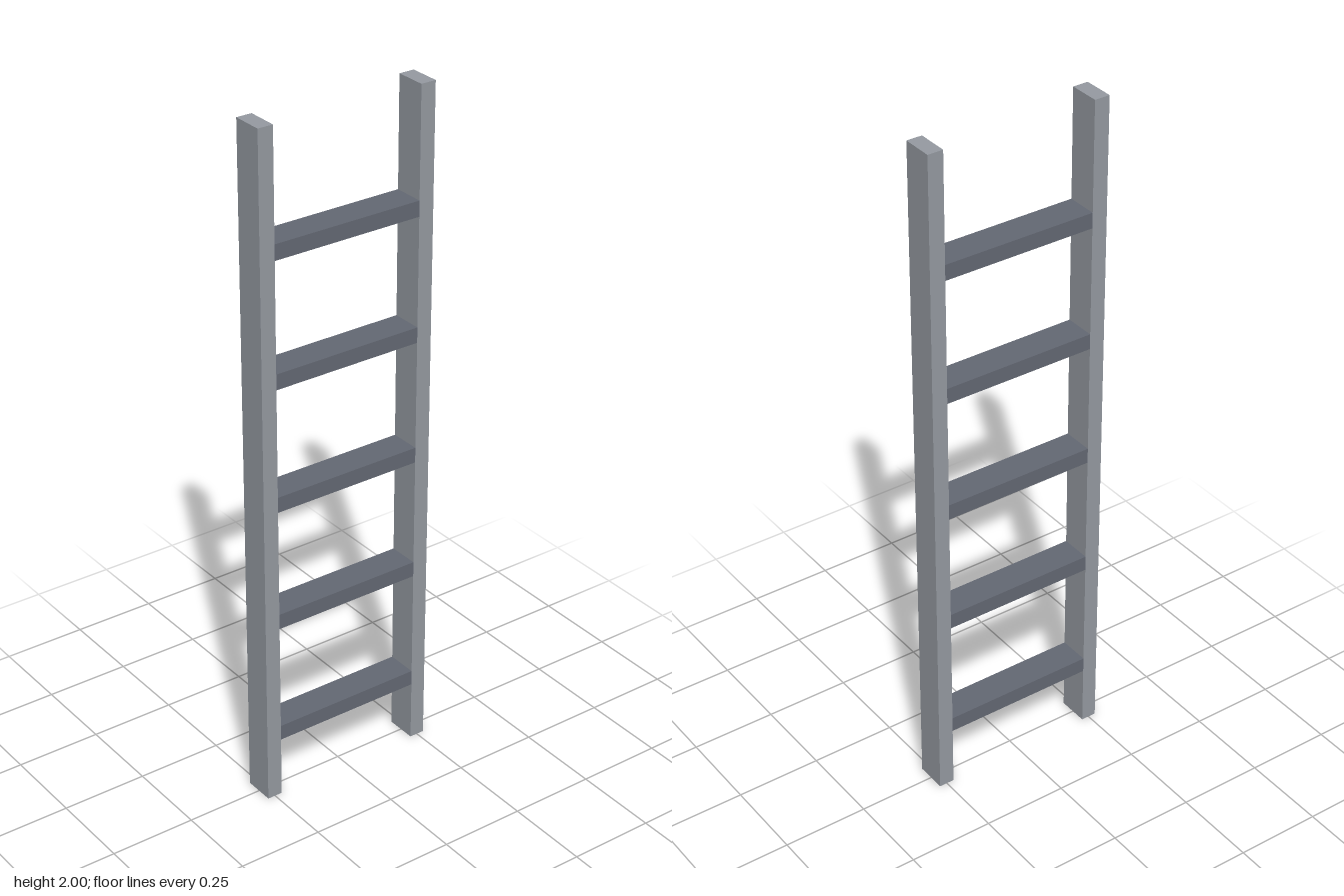
import * as THREE from 'three';

export function createModel() {
  const railMaterial = new THREE.MeshStandardMaterial({ color: 0x969ba2 });
  railMaterial.name = 'light grey rail';
  const rungMaterial = new THREE.MeshStandardMaterial({ color: 0x646974 });
  rungMaterial.name = 'dark grey rung';

  const u = 1 / 22; // thickness of every bar
  const ladder = new THREE.Group();
  ladder.name = 'ladder';

  const addBar = (name, width, height, x, y, material) => {
    const bar = new THREE.Mesh(new THREE.BoxGeometry(width, height, 2 * u), material);
    bar.name = name;
    bar.position.set(x, y, 0);
    ladder.add(bar);
  };

  // Two upright rails
  addBar('leftRail', u, 2, 5.5 * u, 1, railMaterial);
  addBar('rightRail', u, 2, -5.5 * u, 1, railMaterial);

  // Five evenly spaced rungs fitted between the rails
  for (let i = 0; i < 5; i++) {
    addBar(`rung${i + 1}`, 10 * u, u, 0, (4.5 + 8 * i) * u, rungMaterial);
  }

  return ladder;
}
